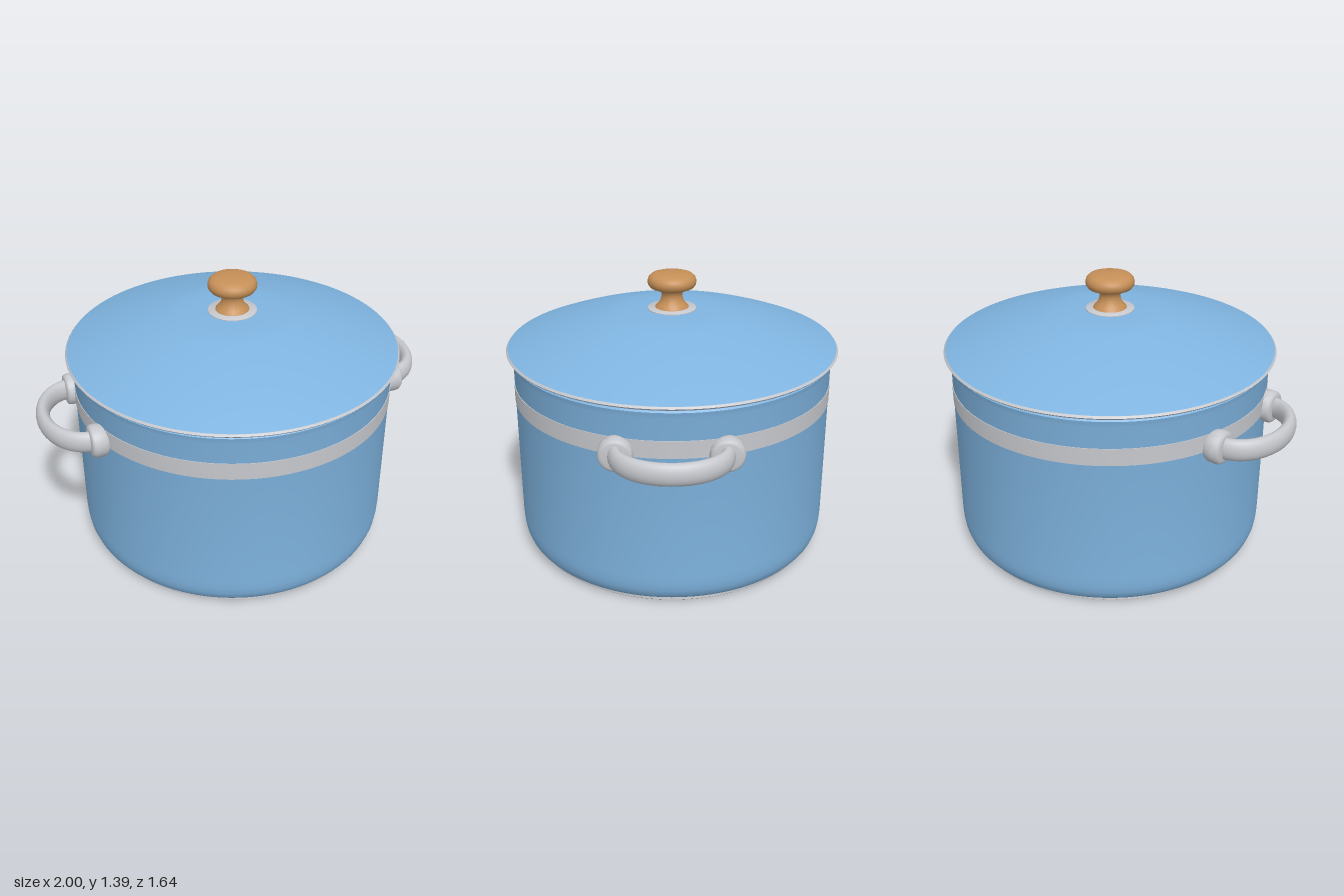
import * as THREE from 'three';
import { toCreasedNormals } from 'three/addons/utils/BufferGeometryUtils.js';

const material = (name, color) => {
  const m = new THREE.MeshStandardMaterial({ color });
  m.name = name;
  return m;
};

export function createModel() {
  const blue = material('blue enamel', 0x7fb4e0);
  const steel = material('steel', 0xc6c8cd);
  const baseGrey = material('base grey', 0xa0a1a4);
  const wood = material('wood', 0xc69058);

  const pot = new THREE.Group();
  pot.name = 'pot';

  const add = (name, geometry, mat, parent = pot) => {
    const mesh = new THREE.Mesh(geometry, mat);
    mesh.name = name;
    parent.add(mesh);
    return mesh;
  };
  // Profiles run upwards along the outside; pairs are [radius, height]
  const turned = (points, segments = 96, crease = 0.6) => toCreasedNormals(
    new THREE.LatheGeometry(points.map(([r, y]) => new THREE.Vector2(r, y)), segments), crease);

  // Body with rounded foot, small lip and hollow inside
  add('body', turned([
    [0.7, 0.012], [0.735, 0.014], [0.755, 0.028], [0.772, 0.05], [0.783, 0.08], [0.788, 0.115], [0.79, 0.16],
    [0.79, 0.97], [0.795, 0.99], [0.797, 1.0], [0.79, 1.008], [0.77, 1.0], [0.765, 0.1], [0.72, 0.04], [0, 0.04],
  ]), blue);
  add('base', turned([[0, 0], [0.735, 0], [0.742, 0.006], [0.735, 0.014], [0, 0.014]]), baseGrey);
  add('band', turned([[0.789, 0.78], [0.793, 0.78], [0.793, 0.865], [0.789, 0.865]]), steel);

  // Lid: steel underside and edge, enamelled dome above
  add('lidRim', turned([[0, 1.006], [0.785, 1.008], [0.815, 1.02], [0.822, 1.028], [0.815, 1.037], [0.8, 1.04]]), steel);
  const dome = [[0.814, 1.0375]];
  for (let i = 1; i <= 10; i++) {
    const r = 0.814 + (0.28 - 0.814) * i / 10;
    const t = i / 10;
    dome.push([r, 1.0375 + 0.1625 * (1.35 * t - 0.35 * t * t)]);
  }
  dome.push([0.2, 1.205], [0.1, 1.209], [0, 1.21]);
  add('lidDome', turned(dome), blue);

  // Turned wooden knob on a steel collar
  add('knobCollar', turned([[0.12, 1.203], [0.12, 1.212], [0.114, 1.216], [0, 1.216]], 48), steel);
  add('knob', turned([
    [0.084, 1.214], [0.08, 1.222], [0.066, 1.235], [0.055, 1.255], [0.051, 1.275], [0.054, 1.293], [0.066, 1.306],
    [0.09, 1.311], [0.108, 1.319], [0.118, 1.333], [0.12, 1.348], [0.115, 1.365], [0.102, 1.378], [0.08, 1.385], [0, 1.387],
  ], 48, 0.9), wood);

  // Side handles: an oval bar bent in a half ellipse between two round mounts
  const bend = [];
  for (let i = 0; i <= 16; i++) {
    const a = -Math.PI / 2 + Math.PI * i / 16;
    bend.push(new THREE.Vector3(0.785 + 0.182 * Math.cos(a), 0, 0.247 * Math.sin(a)));
  }
  bend.unshift(new THREE.Vector3(0.75, 0, -0.247));
  bend.push(new THREE.Vector3(0.75, 0, 0.247));
  const barGeometry = new THREE.TubeGeometry(new THREE.CatmullRomCurve3(bend), 64, 0.033, 20);
  barGeometry.scale(1, 1.62, 1);
  const mountGeometry = turned([
    [0.07, -0.06], [0.078, -0.045], [0.08, -0.01], [0.078, 0.006], [0.071, 0.015], [0.06, 0.018], [0, 0.018],
  ], 40, 0.9);
  mountGeometry.rotateZ(-Math.PI / 2);

  for (const [name, turn] of [['leftHandle', 0], ['rightHandle', Math.PI]]) {
    const handle = new THREE.Group();
    handle.name = name;
    handle.position.y = 0.797;
    handle.rotation.y = turn;
    add('handleBar', barGeometry, steel, handle);
    for (const side of [-1, 1]) {
      add('handleMount', mountGeometry, steel, handle).position.set(0.792, 0, side * 0.245);
    }
    pot.add(handle);
  }
  return pot;
}
